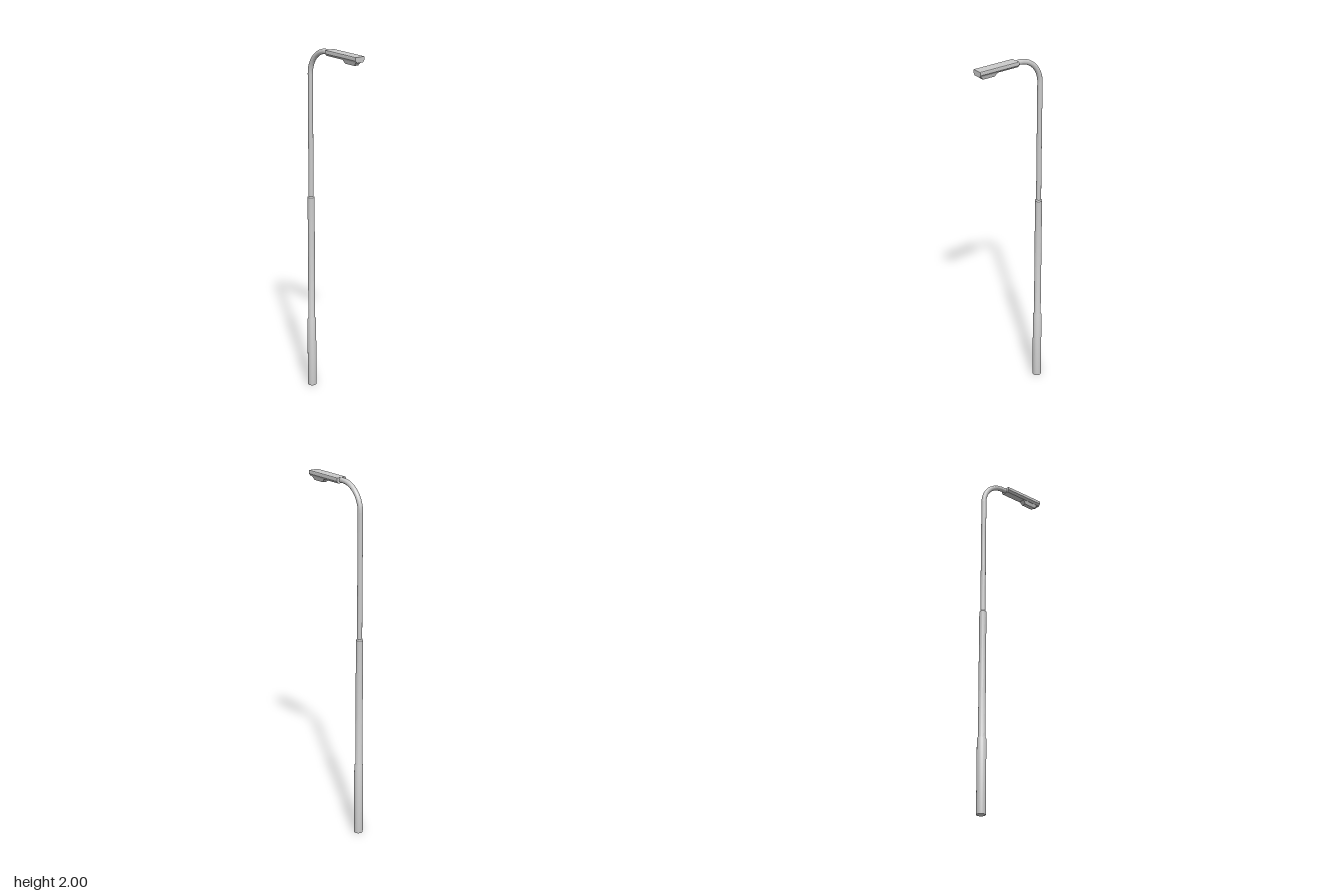
import * as THREE from 'three';
import { toCreasedNormals } from 'three/addons/utils/BufferGeometryUtils.js';

const POLE_X = -0.19;
const ARM_Y = 1.986;
const BEND = 0.14;
const TUBE_R = 0.014;

export function createModel() {
  const group = new THREE.Group();
  const material = new THREE.MeshStandardMaterial({ color: 0xcccccc });
  const add = (name, geometry, x = 0, y = 0, z = 0) => {
    const mesh = new THREE.Mesh(toCreasedNormals(geometry, 0.5), material);
    mesh.name = name;
    mesh.position.set(x, y, z);
    group.add(mesh);
  };

  // Stepped pole: thick base sleeve, then a middle section, each with a short bevel
  const profile = [
    [0, 0], [0.025, 0], [0.025, 0.41], [0.0195, 0.422],
    [0.0195, 1.148], [TUBE_R, 1.155],
  ].map(([r, y]) => new THREE.Vector2(r, y));
  add('pole', new THREE.LatheGeometry(profile, 24), POLE_X);

  // Upper tube: straight run, quarter bend, then a short arm into the lamp head
  const bendStart = ARM_Y - BEND;
  add('upperPole', new THREE.CylinderGeometry(TUBE_R, TUBE_R, bendStart - 1.15, 24, 1, true),
    POLE_X, (bendStart + 1.15) / 2);

  class QuarterBend extends THREE.Curve {
    getPoint(t, target = new THREE.Vector3()) {
      const a = t * Math.PI / 2;
      return target.set(POLE_X + BEND * (1 - Math.cos(a)), bendStart + BEND * Math.sin(a), 0);
    }
  }
  add('bend', new THREE.TubeGeometry(new QuarterBend(), 20, TUBE_R, 24));

  const armStart = POLE_X + BEND, armEnd = -0.02;
  const arm = new THREE.CylinderGeometry(TUBE_R, TUBE_R, armEnd - armStart, 24);
  arm.rotateZ(-Math.PI / 2);
  add('arm', arm, (armStart + armEnd) / 2, ARM_Y);

  // Lamp head: flat bar with bevelled lower edges
  const section = new THREE.Shape([
    [-0.02, 1.97], [0.02, 1.97], [0.03, 1.982], [0.03, 1.997], [0.028, 2],
    [-0.028, 2], [-0.03, 1.997], [-0.03, 1.982],
  ].map(([x, y]) => new THREE.Vector2(x, y)));
  const head = new THREE.ExtrudeGeometry(section, { depth: 0.245, bevelEnabled: false });
  head.rotateY(Math.PI / 2);
  add('lampHead', head, -0.03);

  // Lens: shallow tapered block under the outer end of the head
  const lens = new THREE.CylinderGeometry(Math.SQRT2, Math.SQRT2 * 0.66, 0.022, 4);
  lens.rotateY(Math.PI / 4);
  lens.scale(0.055, 1, 0.019);
  add('lens', lens, 0.15, 1.961);

  return group;
}
